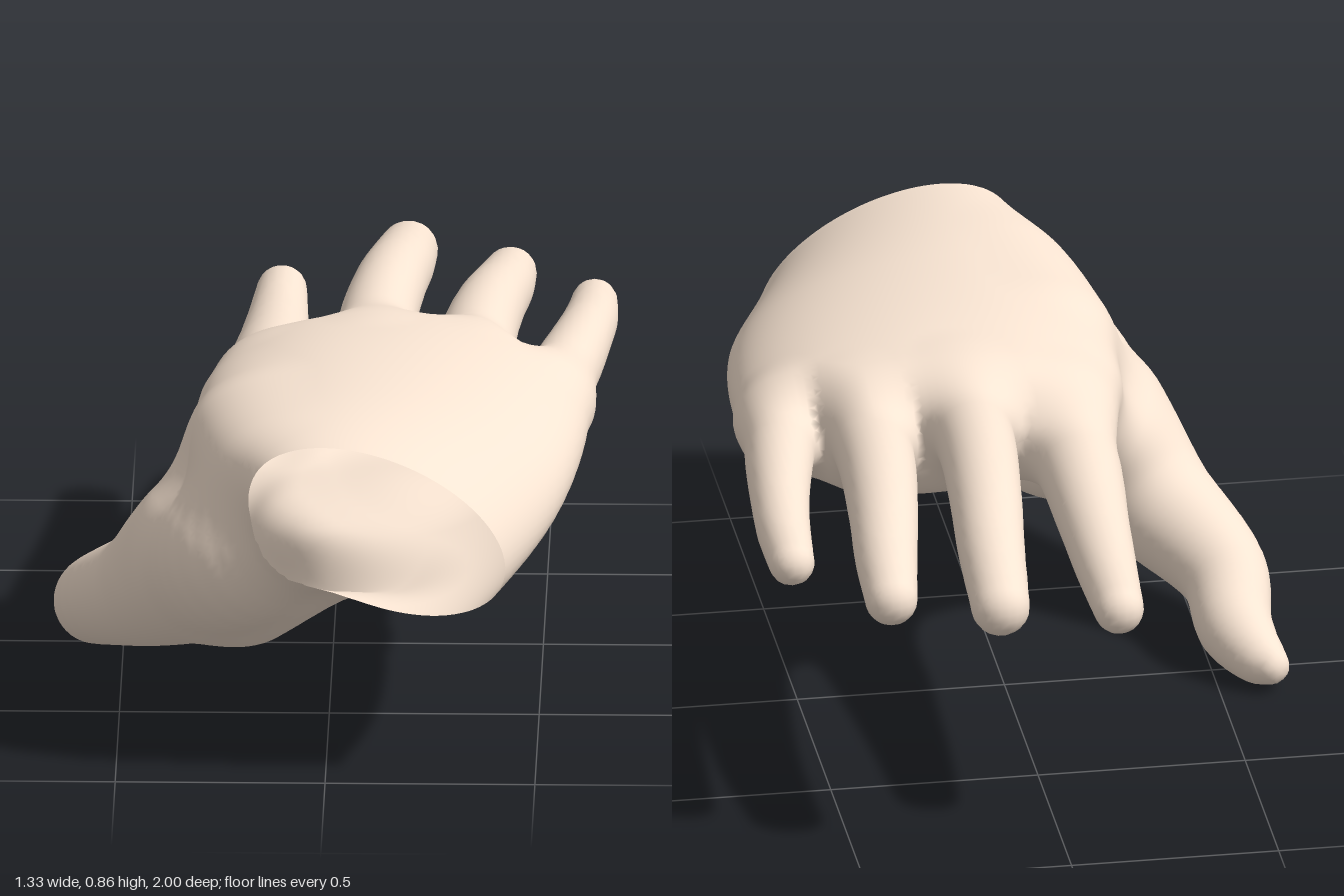
import * as THREE from 'three';

// Palm cross-sections along z: centre x, centre y, half width, half height, tilt
const palmZ = [-0.1, 0, 0.2, 0.6, 1];
const palmRows = new THREE.CubicInterpolant(palmZ, [
  0.17, 0.675, 0.41, 0.145, -0.02,
  0.17, 0.678, 0.435, 0.168, -0.03,
  0.158, 0.673, 0.458, 0.19, -0.04,
  0.14, 0.657, 0.432, 0.192, -0.14,
  0.125, 0.636, 0.325, 0.178, -0.43,
], 5);

// Digits as centre lines: x, y, z, radius
const digits = {
  thumb: [[-0.1, 0.56, 0.84, 0.13], [-0.21, 0.49, 0.76, 0.178], [-0.285, 0.41, 0.61, 0.178], [-0.41, 0.285, 0.4, 0.145],
    [-0.555, 0.17, 0.18, 0.107], [-0.56, 0.1, 0.02, 0.09], [-0.6, 0.064, -0.08, 0.064], [-0.622, 0.06, -0.12, 0.046]],
  indexFinger: [[-0.14, 0.65, 0.08, 0.11], [-0.155, 0.632, -0.15, 0.1], [-0.15, 0.61, -0.4, 0.085],
    [-0.145, 0.595, -0.62, 0.073], [-0.14, 0.592, -0.84, 0.06]],
  middleFinger: [[0.1, 0.71, 0.08, 0.11], [0.1, 0.735, -0.2, 0.094], [0.125, 0.73, -0.5, 0.086],
    [0.145, 0.705, -0.7, 0.08], [0.16, 0.664, -0.93, 0.07]],
  ringFinger: [[0.33, 0.69, 0.08, 0.1], [0.34, 0.705, -0.2, 0.092], [0.365, 0.695, -0.45, 0.083],
    [0.39, 0.67, -0.65, 0.074], [0.405, 0.648, -0.815, 0.063]],
  littleFinger: [[0.51, 0.665, 0.14, 0.09], [0.551, 0.675, -0.05, 0.083], [0.59, 0.675, -0.3, 0.07],
    [0.605, 0.665, -0.45, 0.064], [0.61, 0.655, -0.595, 0.055]],
};
// Flesh joining the thumb to the palm: pad below, slope behind, web in front
const thumbFlesh = [
  [[-0.18, 0.35, 0.6, 0.125], [0.1, 0.545, 0.74, 0.115]],
  [[-0.15, 0.63, 0.74, 0.12], [-0.19, 0.635, 0.47, 0.13], [-0.305, 0.465, 0.5, 0.14]],
  [[-0.2, 0.6, 0.23, 0.085], [-0.37, 0.37, 0.42, 0.1]],
];

// Smooth minimum, for soft joins
function blend(a, b, k) {
  const h = Math.max(k - Math.abs(a - b), 0) / k;
  return Math.min(a, b) - h * h * k * 0.25;
}

// Resample a digit into short tapered pieces along a smooth curve
function pieces(rows) {
  const curve = new THREE.CatmullRomCurve3(rows.map((r) => new THREE.Vector3(r[0], r[1], r[2])));
  const radii = new THREE.CubicInterpolant(rows.map((r, i) => i), rows.map((r) => r[3]), 1);
  const last = rows.length - 1, n = last * 6;
  return Array.from({ length: n + 1 }, (_, i) => [...curve.getPoint(i / n).toArray(), radii.evaluate((i / n) * last)[0]]);
}

// Distance to a chain of round cones
function chainDistance(chain, x, y, z) {
  let best = Infinity;
  for (let i = 0; i + 1 < chain.length; i++) {
    const a = chain[i], b = chain[i + 1];
    const ux = b[0] - a[0], uy = b[1] - a[1], uz = b[2] - a[2], dr = b[3] - a[3];
    const px = x - a[0], py = y - a[1], pz = z - a[2];
    const l2 = ux * ux + uy * uy + uz * uz;
    const along = (px * ux + py * uy + pz * uz) / l2;
    const off2 = Math.max(0, px * px + py * py + pz * pz - along * along * l2);
    const lean = (dr * Math.sqrt(off2 / Math.max(l2 - dr * dr, 1e-6))) / Math.sqrt(l2);
    const t = Math.min(1, Math.max(0, along + lean));
    best = Math.min(best, Math.sqrt(off2 + (along - t) ** 2 * l2) - a[3] - t * dr);
  }
  return best;
}

function palmDistance(x, y, z) {
  const [cx, cy, a, b, tilt] = palmRows.evaluate(z);
  const c = Math.cos(tilt), s = Math.sin(tilt);
  const u = (x - cx) * c + (y - cy) * s, v = (y - cy) * c - (x - cx) * s;
  const k0 = Math.hypot(u / a, v / b), k1 = Math.hypot(u / (a * a), v / (b * b)) + 1e-6;
  const tube = k0 < 0.05 ? -b : (k0 * (k0 - 1)) / k1;
  // Knuckle end, set further back on the little finger's side
  const end = -0.085 + 0.11 * THREE.MathUtils.smoothstep(x, 0.33, 0.48);
  const capped = -blend(-tube, z - end, 0.16);
  // Hollow of the palm
  const hollow = Math.hypot(x - 0.15, y - 0.2, z - 0.25) - 0.29;
  return -blend(-capped, hollow, 0.1);
}

const names = ['palm', ...Object.keys(digits)];
const chains = Object.values(digits).map(pieces);

function partDistances(x, y, z) {
  const d = [palmDistance(x, y, z), ...chains.map((c) => chainDistance(c, x, y, z))];
  for (const flesh of thumbFlesh) d[1] = blend(d[1], chainDistance(flesh, x, y, z), 0.1);
  return d;
}

function handDistance(x, y, z) {
  const d = partDistances(x, y, z);
  return blend(blend(d[0], d[1], 0.14), Math.min(d[2], d[3], d[4], d[5]), 0.08);
}

function gradient(p) {
  const e = 0.004, [x, y, z] = p;
  return new THREE.Vector3(
    handDistance(x + e, y, z) - handDistance(x - e, y, z),
    handDistance(x, y + e, z) - handDistance(x, y - e, z),
    handDistance(x, y, z + e) - handDistance(x, y, z - e),
  ).normalize().toArray();
}

// Skin the blended form on a grid; it stays open at the wrist, z = 1
function skin() {
  const h = 0.02, origin = [-0.74, -0.04, -1.04], size = [75, 50, 103];
  const step = [1, size[0], size[0] * size[1]];
  const field = new Float32Array(size[0] * size[1] * size[2]);
  const each = (fn) => {
    for (let k = 0, n = 0; k < size[2]; k++)
      for (let j = 0; j < size[1]; j++)
        for (let i = 0; i < size[0]; i++, n++) fn([i, j, k], n);
  };
  each((c, n) => { field[n] = handDistance(...c.map((v, a) => origin[a] + v * h)); });

  // One point in every cell the surface crosses, pulled onto the surface
  const positions = [], normals = [], pointOf = new Int32Array(field.length).fill(-1);
  each((c, n) => {
    if (c.some((v, a) => v >= size[a] - 1)) return;
    const sum = [0, 0, 0];
    let count = 0;
    for (let corner = 0; corner < 8; corner++) {
      const bits = [corner & 1, (corner >> 1) & 1, corner >> 2];
      const m = n + bits[0] * step[0] + bits[1] * step[1] + bits[2] * step[2];
      for (let a = 0; a < 3; a++) {
        if (bits[a]) continue;
        const d0 = field[m], d1 = field[m + step[a]];
        if ((d0 < 0) === (d1 < 0)) continue;
        for (let q = 0; q < 3; q++) sum[q] += bits[q] + (q === a ? d0 / (d0 - d1) : 0);
        count++;
      }
    }
    if (!count) return;
    const p = c.map((v, a) => origin[a] + (v + sum[a] / count) * h);
    if (c[2] === size[2] - 2) p[2] = 1;
    const g = gradient(p), d = handDistance(...p);
    for (let a = 0; a < 3; a++) p[a] -= g[a] * THREE.MathUtils.clamp(d, -h / 2, h / 2);
    if (c[2] === size[2] - 2) p[2] = 1;
    pointOf[n] = positions.length / 3;
    positions.push(...p);
    normals.push(...gradient(p));
  });

  // A quad around every crossed grid edge, given to the nearest part
  const faces = names.map(() => []);
  each((c, n) => {
    for (let a = 0; a < 3; a++) {
      const u = (a + 1) % 3, v = (a + 2) % 3;
      if (c[a] >= size[a] - 1 || !c[u] || !c[v] || (field[n] < 0) === (field[n + step[a]] < 0)) continue;
      const quad = [n - step[u] - step[v], n - step[v], n, n - step[u]].map((m) => pointOf[m]);
      if (quad.some((q) => q < 0)) continue;
      if (field[n] >= 0) quad.reverse();
      const [p, q, r, s] = quad;
      const d = partDistances(...positions.slice(p * 3, p * 3 + 3));
      faces[d.indexOf(Math.min(...d))].push(p, q, r, p, r, s);
    }
  });
  return { positions, normals, faces };
}

export function createModel() {
  const hand = new THREE.Group();
  hand.name = 'hand';
  const material = new THREE.MeshStandardMaterial({ color: 0xf8e4d2, side: THREE.DoubleSide });
  const { positions, normals, faces } = skin();
  names.forEach((name, i) => {
    const shared = new THREE.BufferGeometry();
    shared.setAttribute('position', new THREE.Float32BufferAttribute(positions, 3));
    shared.setAttribute('normal', new THREE.Float32BufferAttribute(normals, 3));
    shared.setIndex(faces[i]);
    const mesh = new THREE.Mesh(shared.toNonIndexed(), material);
    mesh.name = name;
    hand.add(mesh);
  });
  return hand;
}
